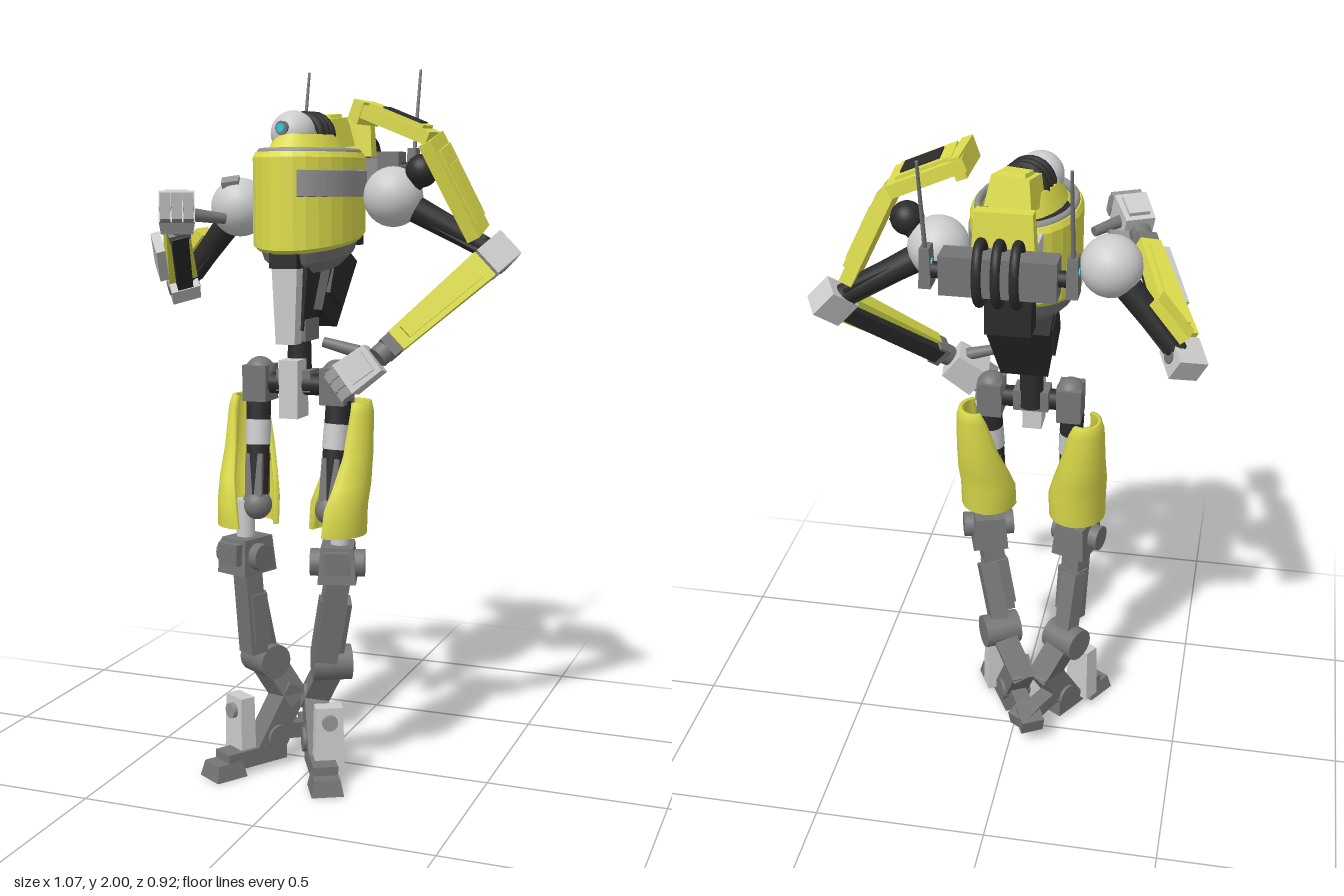
import * as THREE from 'three';

const mat = (color) => new THREE.MeshStandardMaterial({ color, side: THREE.DoubleSide });
const Y = mat(0xdddd4c), L = mat(0xcccccc), G = mat(0x949494), D = mat(0x757575), K = mat(0x2b2b2b), C = mat(0x30c8d8);
const V = (p) => new THREE.Vector3(...p);

function add(parent, name, geo, m, pos = [0, 0, 0], rot = [0, 0, 0]) {
  const o = new THREE.Mesh(geo, m);
  o.name = name;
  o.position.set(...pos);
  o.rotation.set(...rot);
  parent.add(o);
  return o;
}

// Box whose top end is scaled by tx, tz
function box(parent, name, m, [w, h, d], pos, rot, tx = 1, tz = tx) {
  const g = new THREE.BoxGeometry(w, h, d), p = g.attributes.position;
  for (let i = 0; i < p.count; i++)
    if (p.getY(i) > 0) p.setXYZ(i, p.getX(i) * tx, p.getY(i), p.getZ(i) * tz);
  g.computeVertexNormals();
  return add(parent, name, g, m, pos, rot);
}
const ball = (parent, name, m, r, pos) => add(parent, name, new THREE.SphereGeometry(r, 24, 16), m, pos);
const cyl = (parent, name, m, r1, r2, h, pos, rot) => add(parent, name, new THREE.CylinderGeometry(r1, r2, h, 16), m, pos, rot);

function group(parent, name, pos = [0, 0, 0], rot = [0, 0, 0]) {
  const g = new THREE.Group();
  g.name = name;
  g.position.set(...pos);
  g.rotation.set(...rot);
  parent.add(g);
  return g;
}

// Group at a with +y running to b and +z turned toward hint
function limb(parent, name, a, b, hint) {
  const g = group(parent, name, a), y = V(b).sub(V(a));
  g.userData.len = y.length();
  y.normalize();
  const x = new THREE.Vector3().crossVectors(y, V(hint)).normalize();
  g.quaternion.setFromRotationMatrix(new THREE.Matrix4().makeBasis(x, y, new THREE.Vector3().crossVectors(x, y)));
  return g;
}

// Curved thigh shell, open to the front and inside
function thighShell() {
  // y, centre x, centre z, radius x, radius z, start and end angle
  const rows = [
    [1.08, 0.13, 0.085, 0.042, 0.05, 0.3, 3.7], [1.05, 0.13, 0.09, 0.05, 0.058, 0.25, 3.9],
    [0.94, 0.122, 0.108, 0.062, 0.07, 0.2, 4.2], [0.86, 0.114, 0.135, 0.073, 0.083, 0.1, 4.4],
    [0.8, 0.106, 0.155, 0.078, 0.088, 0, 4.5], [0.725, 0.106, 0.158, 0.077, 0.086, -0.1, 4.6]];
  const n = 24, pos = [], idx = [];
  [rows[0], ...rows, rows[5]].forEach(([y, cx, cz, rx, rz, a0, a1], r) => {
    const t = r === 0 || r === 7 ? 0 : 0.007;
    for (let i = 0; i < 2 * n; i++) {
      const k = i < n ? i : 2 * n - 1 - i, e = i < n ? t : -t, a = a0 + (a1 - a0) * k / (n - 1);
      pos.push(cx + Math.sin(a) * (rx + e), y, cz + Math.cos(a) * (rz + e));
    }
  });
  const m = 2 * n;
  for (let r = 0; r < 7; r++) for (let i = 0; i < m; i++) {
    const a = r * m + i, b = r * m + (i + 1) % m;
    idx.push(a, a + m, b, b, a + m, b + m);
  }
  const g = new THREE.BufferGeometry();
  g.setAttribute('position', new THREE.Float32BufferAttribute(pos, 3));
  g.setIndex(idx);
  g.computeVertexNormals();
  return g;
}

function leg(root, side, hock, foot, yaw) {
  const name = side > 0 ? 'left' : 'right', g = group(root, name + 'Leg');
  const mx = (x) => side > 0 ? x : -0.058 - x;
  const hip = [mx(0.085), 1.12, 0.1], knee = [mx(0.107), 0.64, 0.15];
  const ahead = [Math.sin(yaw), 0, Math.cos(yaw)];
  // Hip and thigh
  cyl(g, 'hipAxle', K, 0.03, 0.03, 0.12, [mx(0.04), 1.12, 0.1], [0, 0, Math.PI / 2]);
  box(g, 'hipBlock', D, [0.07, 0.1, 0.09], hip);
  ball(g, 'hipCap', D, 0.042, [hip[0], 1.15, 0.1]);
  const t = limb(g, 'thigh', [mx(0.09), 1.08, 0.1], [mx(0.08), 0.78, 0.14], [0, 0, 1]);
  cyl(t, 'thighRod', K, 0.03, 0.035, t.userData.len, [0, t.userData.len / 2, 0]);
  cyl(t, 'thighCollar', L, 0.035, 0.035, 0.07, [0, 0.1, 0]);
  box(t, 'thighBrace', D, [0.05, 0.12, 0.06], [0, 0.22, 0]);
  ball(g, 'thighBall', D, 0.042, [mx(0.08), 0.78, 0.14]);
  const armour = group(g, 'thighArmour', side > 0 ? [0, 0, 0.006] : [-0.058, 0, -0.018]);
  add(armour, 'thighShell', thighShell(), Y).scale.x = side;
  // Knee
  cyl(g, 'kneeRod', L, 0.026, 0.026, 0.13, [mx(0.112), 0.73, 0.148]);
  const k = group(g, 'knee', knee, [0, yaw * 0.6, 0]);
  box(k, 'kneeBlock', D, [0.105, 0.1, 0.13], [0, 0, 0], [0, 0, 0], 0.85);
  cyl(k, 'kneeAxle', D, 0.038, 0.038, 0.15, [0, 0, 0.01], [0, 0, Math.PI / 2]);
  box(k, 'kneePlate', D, [0.07, 0.06, 0.03], [0, 0.01, 0.065]);
  // Upright shin, with a calf bar running back to the hock joint
  const shinEnd = [hock[0] + side * 0.005, 0.35, 0.13];
  const s = limb(g, 'shin', [knee[0], 0.6, 0.15], shinEnd, ahead), n = s.userData.len;
  box(s, 'shinBar', D, [0.065, n, 0.055], [0, n / 2, 0]);
  box(s, 'shinPlate', D, [0.075, n * 0.6, 0.05], [0, n * 0.6, -0.01]);
  const c = limb(g, 'calf', [knee[0], 0.52, 0.12], hock, ahead);
  box(c, 'calfBar', D, [0.055, c.userData.len, 0.05], [0, c.userData.len / 2, -0.005]);
  cyl(g, 'hock', D, 0.05, 0.05, 0.11, hock, [0, yaw, Math.PI / 2]);
  // Link running further back, then down and forward into the foot
  const heel = [foot[0] - 0.09 * ahead[0], 0.2, foot[1] - 0.09 * ahead[2]];
  for (const [part, a, b] of [['hockLink', hock, heel], ['ankleLink', heel, [foot[0], 0.06, foot[1]]]]) {
    const link = limb(g, part, a, b, ahead), h = link.userData.len;
    box(link, part + 'Bar', D, [0.07, h + 0.05, 0.075], [0, h / 2, 0]);
  }
  // Foot
  const f = group(g, name + 'Foot', [foot[0], 0, foot[1]], [0, yaw, 0]);
  box(f, 'ankleGuard', L, [0.085, 0.18, 0.05], [side * 0.018, 0.13, 0.065], [0, 0, 0], 0.9);
  cyl(f, 'guardBolt', G, 0.022, 0.022, 0.02, [side * 0.018, 0.18, 0.092], [Math.PI / 2, 0, 0]);
  box(f, 'sole', D, [0.07, 0.05, 0.2], [0, 0.045, 0.04]);
  box(f, 'toe', D, [0.09, 0.045, 0.1], [0, 0.023, 0.135], [0, 0, 0], 0.8);
  cyl(f, 'heelAxle', D, 0.035, 0.035, 0.09, [0, 0.09, -0.03], [0, 0, Math.PI / 2]);
  box(f, 'heelBar', D, [0.05, 0.045, 0.13], [0, 0.09, -0.1], [-0.15, 0, 0]);
  box(f, 'heelPad', D, [0.07, 0.05, 0.07], [0, 0.085, -0.185], [-0.25, 0, 0]);
}

// thumb is the thumb's lean, positive to the hand's +x
function arm(root, name, { shoulder, elbow, wrist, hand, cover, isRight, palm, thumb }) {
  const g = group(root, name);
  ball(g, 'shoulderBall', L, 0.083, shoulder);
  const u = limb(g, 'upperArm', shoulder, elbow, cover), n = u.userData.len;
  cyl(u, 'upperRod', K, 0.028, 0.04, n, [0, n / 2, 0]);
  box(u, 'upperFrame', K, [0.05, n * 0.5, 0.05], [0, n * 0.6, 0]);
  if (isRight) {
    box(u, 'upperArmPlate', Y, [0.06, 0.13, 0.03], [0, n - 0.11, 0.045]);
    box(g, 'shoulderTab', G, [0.05, 0.02, 0.035], [shoulder[0] - 0.01, shoulder[1] + 0.07, shoulder[2] + 0.042], [0.5, 0.3, 0]);
  }
  // Forearm with a tapering cover
  const f = limb(g, 'forearm', elbow, wrist, cover), m = f.userData.len;
  box(f, 'elbowBlock', L, [0.085, 0.09, 0.07], [0, 0.005, 0]);
  cyl(f, 'elbowPin', D, 0.022, 0.022, 0.092, [0, 0.01, 0], [0, 0, Math.PI / 2]);
  box(f, 'forearmCore', K, [0.045, m - 0.04, 0.045], [0, m / 2, -0.01]);
  box(f, 'forearmCover', Y, [0.085, m - 0.09, 0.05], [0, m / 2 + 0.015, 0.015], [0, 0, 0], 0.75);
  box(f, 'forearmPanel', Y, [0.05, m - 0.15, 0.01], [0, m / 2 + 0.015, 0.043], [0.02, 0, 0], 0.75);
  if (isRight) box(f, 'forearmPlate', L, [0.025, 0.2, 0.06], [0.06, m - 0.13, -0.02]);
  cyl(f, 'wrist', D, 0.03, 0.03, 0.06, [0, m, 0]);
  box(f, 'wristBlock', D, [0.06, 0.04, 0.06], [0, m - 0.02, 0]);
  // Hand
  const h = limb(g, 'hand', wrist, hand, palm);
  box(h, 'palm', L, [0.085, 0.1, 0.08], [0, 0.085, 0], [0, 0, 0], 1.1);
  box(h, 'handBack', L, [0.06, 0.07, 0.015], [0, 0.085, 0.045]);
  for (let i = 0; i < 3; i++) {
    box(h, 'finger', G, [0.028, 0.045, 0.04], [(i - 1) * 0.03, 0.145, 0.005]);
    box(h, 'fingertip', G, [0.026, 0.025, 0.055], [(i - 1) * 0.03, 0.165, -0.025]);
  }
  cyl(h, 'thumb', D, 0.014, 0.018, 0.1, [Math.sign(thumb) * 0.08, 0.12 - 0.03 * Math.abs(thumb), 0], [0, 0, -thumb]);
}

export function createModel() {
  const root = new THREE.Group();
  root.name = 'robot';

  // Oval torso drum with a slanting lower edge
  const torso = group(root, 'torso', [-0.033, 0, 0]);
  const oval = (name, m, pts, a0 = 0, a1 = Math.PI * 2) => {
    const g = new THREE.LatheGeometry(pts.map(([r, y]) => new THREE.Vector2(r, y)), 28, a0, a1), p = g.attributes.position;
    for (let i = 0; i < p.count; i++) if (p.getY(i) < 1.6) p.setY(i, p.getY(i) - 0.15 * p.getZ(i));
    g.scale(0.68, 1, 1);
    const ng = g.toNonIndexed();
    ng.computeVertexNormals();
    add(torso, name, ng, m);
  };
  oval('drum', Y, [[0.165, 1.505], [0.2, 1.508], [0.214, 1.52], [0.214, 1.735], [0.204, 1.75], [0.175, 1.75], [0.17, 1.715]]);
  oval('cockpitFloor', K, [[0.18, 1.71], [0, 1.71]]);
  oval('sideBand', G, [[0.211, 1.63], [0.219, 1.633], [0.219, 1.7], [0.211, 1.703]], 0.3, 2.8);
  oval('underside', D, [[0.188, 1.51], [0.172, 1.475], [0.12, 1.44], [0, 1.43]]);
  const rim = add(torso, 'rimTube', new THREE.TorusGeometry(0.185, 0.014, 10, 36), G, [0, 1.747, 0], [Math.PI / 2, 0, 0]);
  rim.scale.set(0.68, 1, 1);

  // Head turned a little to its right
  const head = group(root, 'head', [-0.035, 1.765, 0.01], [0, -0.23, 0]);
  const boat = add(head, 'collar', new THREE.CylinderGeometry(0.115, 0.15, 0.055, 20), Y, [0, 0.005, 0]);
  boat.scale.x = 0.62;
  ball(head, 'dome', L, 0.062, [-0.01, 0.035, 0.055]);
  cyl(head, 'eyeRing', D, 0.019, 0.019, 0.012, [-0.005, 0.048, 0.114], [Math.PI / 2, 0, 0]);
  cyl(head, 'eye', C, 0.012, 0.012, 0.02, [-0.005, 0.048, 0.114], [Math.PI / 2, 0, 0]);
  for (const z of [0.018, -0.006, -0.03])
    add(head, 'neckRing', new THREE.TorusGeometry(0.058, 0.013, 10, 24), K, [0, 0.026, z]);
  box(head, 'headCover', Y, [0.13, 0.08, 0.1], [0, 0.04, -0.085], [0.1, 0, 0], 0.8);
  box(head, 'headPanel', Y, [0.08, 0.015, 0.06], [0, 0.083, -0.085], [0.1, 0, 0], 0.9);

  // Backpack with hoops, fin and antennas
  const pack = group(root, 'backpack');
  box(pack, 'packMount', L, [0.15, 0.11, 0.17], [-0.03, 1.685, -0.265]);
  box(pack, 'packBlock', K, [0.12, 0.14, 0.075], [-0.03, 1.56, -0.23]);
  box(pack, 'packBar', D, [0.285, 0.1, 0.07], [-0.033, 1.71, -0.385]);
  box(pack, 'packFin', Y, [0.155, 0.1, 0.05], [-0.033, 1.795, -0.32], [0, 0, 0], 0.92, 0.7);
  add(pack, 'packPipe', new THREE.TorusGeometry(0.12, 0.014, 8, 24, Math.PI), G, [-0.033, 1.67, -0.35], [Math.PI / 2, 0, 0]).scale.y = 0.5;
  for (const x of [-0.079, -0.034, 0.011])
    add(pack, 'hoop', new THREE.TorusGeometry(0.075, 0.012, 10, 28), K, [x, 1.717, -0.4], [0, Math.PI / 2, 0]).scale.x = 0.72;
  for (const x of [-0.21, 0.145]) {
    cyl(pack, 'antennaJoint', K, 0.02, 0.02, 0.05, [x * 0.87, 1.71, -0.385], [0, 0, Math.PI / 2]);
    box(pack, 'antennaBase', D, [0.03, 0.1, 0.055], [x, 1.72, -0.385], [0, 0, 0], 0.8);
    cyl(pack, 'antennaLight', C, 0.01, 0.01, 0.032, [x, 1.73, -0.385], [0, 0, Math.PI / 2]);
    const an = limb(pack, 'antenna', [x, 1.75, -0.39], [x, 2, -0.448], [0, 0, 1]);
    cyl(an, 'antennaRod', D, 0.004, 0.006, an.userData.len, [0, an.userData.len / 2, 0]);
  }

  // Waist and pelvis, with a dark hull slung under the back of the drum
  const waist = group(root, 'waist', [-0.035, 0, 0]);
  const hull = limb(waist, 'bellyHull', [0, 1.3, 0.01], [0, 1.49, -0.08], [0, 0, 1]);
  box(hull, 'hullBody', K, [0.13, 0.21, 0.13], [0, 0.1, 0], [0, 0, 0], 1.3, 1.4);
  box(hull, 'hullRib', K, [0.165, 0.11, 0.1], [0, 0.1, 0.02]);
  box(waist, 'bellyTop', K, [0.08, 0.09, 0.05], [0, 1.485, 0.17]);
  box(waist, 'bellyPlate', L, [0.055, 0.22, 0.05], [0, 1.345, 0.155], [0, 0, 0], 1.35, 1.2);
  box(waist, 'bellyCore', K, [0.07, 0.2, 0.1], [0, 1.37, 0.09], [0, 0, 0], 1.5, 1);
  cyl(waist, 'spine', K, 0.03, 0.035, 0.22, [0, 1.22, 0.075]);
  box(waist, 'spineBlock', D, [0.08, 0.06, 0.1], [0, 1.27, 0.08]);
  box(waist, 'pelvis', L, [0.055, 0.16, 0.08], [0, 1.11, 0.12]);
  box(waist, 'pelvisYoke', D, [0.1, 0.06, 0.07], [0, 1.13, 0.09]);

  leg(root, 1, [0.055, 0.32, 0.06], [0.03, 0.095], 0.5);
  leg(root, -1, [-0.15, 0.31, 0.06], [-0.142, 0.1], -0.56);

  arm(root, 'rightArm', { shoulder: [-0.26, 1.6, -0.035], elbow: [-0.465, 1.37, -0.08], wrist: [-0.31, 1.555, 0.27],
    hand: [-0.235, 1.625, 0.42], cover: [-0.3, 1, 0], isRight: true, palm: [0, 1, 0], thumb: -1.9 });
  arm(root, 'leftArm', { shoulder: [0.19, 1.63, -0.06], elbow: [0.475, 1.475, -0.11], wrist: [0.235, 1.225, 0.13],
    hand: [0.1, 1.12, 0.165], cover: [0.3, 0.2, 1], palm: [0.3, 0.3, 1], thumb: 0.9 });

  // Folded shield over the left shoulder
  const shield = group(root, 'shoulderShield');
  ball(shield, 'shieldJoint', K, 0.045, [0.275, 1.7, -0.05]);
  cyl(shield, 'shieldStrut', K, 0.03, 0.03, 0.14, [0.25, 1.67, -0.055], [0, 0, -0.8]);
  const plates = [['upperPlate', [0.12, 1.865, -0.005], [0.315, 1.785, -0.025], [0.3, 1, 0], 1, K],
    ['lowerPlate', [0.31, 1.785, -0.015], [0.43, 1.53, -0.075], [1, 0.45, 0], 0.92, Y]];
  for (const [name, a, b, hint, taper, panel] of plates) {
    const p = limb(shield, name, a, b, hint), n = p.userData.len;
    box(p, 'plate', Y, [0.172, n, 0.036], [0, n / 2, 0], [0, 0, 0], taper, 1);
    box(p, 'raisedPanel', Y, [0.13, n * 0.75, 0.014], [0, n * 0.5, 0.02], [0, 0, 0], taper, 1);
    box(p, 'insetPanel', panel, [0.09, n * 0.52, 0.008], [0, n * 0.55, 0.027], [0, 0, 0], taper, 1);
  }
  box(shield, 'shieldLip', Y, [0.03, 0.06, 0.172], [0.13, 1.855, -0.003], [0, 0, -0.35]);
  return root;
}
